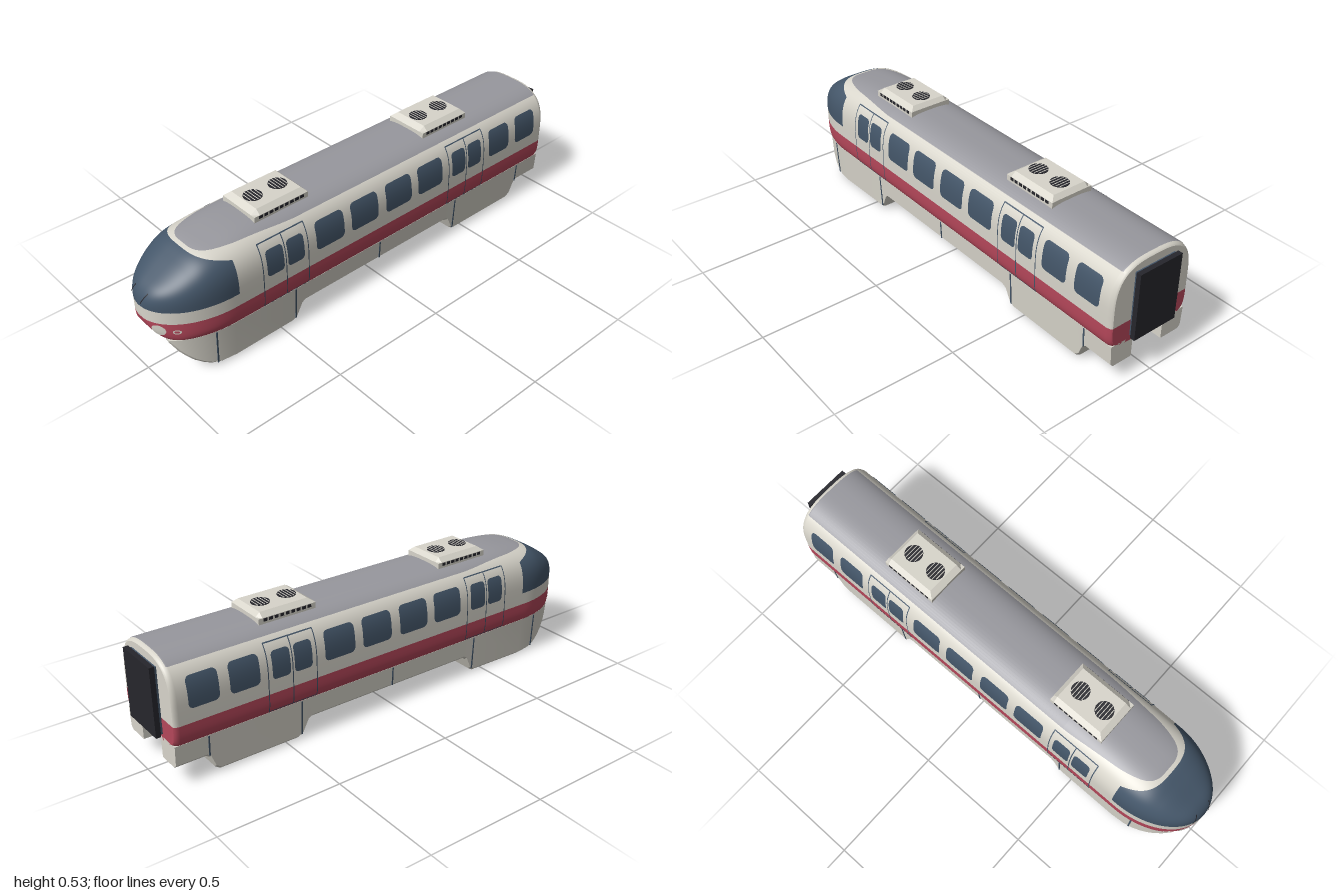
import * as THREE from 'three';
import { toCreasedNormals } from 'three/addons/utils/BufferGeometryUtils.js';

const paint = (name, color, side = THREE.FrontSide) => {
  const m = new THREE.MeshStandardMaterial({ color, side });
  m.name = name;
  return m;
};
const cream = paint('cream', 0xd8d5cb);
const red = paint('red', 0xb5475a);
const grey = paint('roof grey', 0x98989e);
const glass = paint('dark blue glass', 0x445669, THREE.DoubleSide);
const black = paint('black rubber', 0x26262c);

const W = 0.19, MID = 0.3, TOP = 0.497, BOTTOM = 0.15, REAR = -0.97;
const planWidth = z => z < 0.72 ? W : W * Math.sqrt(Math.max(0, 1 - ((z - 0.72) / 0.28) ** 2));
const bellyY = z => z < 0.9 ? BOTTOM : 0.27 - 0.12 * Math.sqrt(Math.max(0, 1 - ((z - 0.9) / 0.1) ** 2));
// half width of the straight body at height y
const sideX = y => {
  const n = y > MID ? 3 : 6.5, k = y > MID ? (y - MID) / (TOP - MID) : (MID - y) / (MID - BOTTOM);
  return W * (1 - k ** n) ** (1 / n);
};

// skin over closed rings ordered along +z, each counterclockwise seen from +z
function loft(rings, capEnd = true) {
  const n = rings[0].length, pos = rings.flat(2), idx = [];
  for (let i = 0; i < rings.length - 1; i++) for (let j = 0; j < n; j++) {
    const a = i * n + j, b = i * n + (j + 1) % n;
    idx.push(a, b, b + n, a, b + n, a + n);
  }
  const cap = (ring, flip) => {
    const base = pos.length / 3;
    ring.forEach(p => pos.push(...p));
    pos.push(...[0, 1, 2].map(k => ring.reduce((s, p) => s + p[k], 0) / n));
    for (let j = 0; j < n; j++) {
      const a = base + j, b = base + (j + 1) % n;
      idx.push(base + n, flip ? b : a, flip ? a : b);
    }
  };
  cap(rings[0], true);
  if (capEnd) cap(rings[rings.length - 1], false);
  const g = new THREE.BufferGeometry();
  g.setAttribute('position', new THREE.Float32BufferAttribute(pos, 3));
  g.setIndex(idx);
  g.computeVertexNormals();
  return g;
}

// rounded body section
function bodyRing(z, top, scale = 1, n = 96) {
  const ring = [], w = planWidth(z), low = bellyY(z);
  for (let j = 0; j < n; j++) {
    const a = (j / n) * Math.PI * 2, c = Math.cos(a), s = Math.sin(a), e = 2 / (s >= 0 ? 3 : 6.5);
    const x = w * Math.sign(c) * Math.abs(c) ** e;
    const y = MID + (s >= 0 ? top - MID : MID - low) * Math.sign(s) * Math.abs(s) ** e;
    ring.push([x * scale, 0.32 + (y - 0.32) * scale, z]);
  }
  return ring;
}

// triangles as lists of [position, normal], cut along f = 0
function toTriangles(g) {
  const flat = g.toNonIndexed(), p = flat.attributes.position, q = flat.attributes.normal, out = [];
  const v = i => [p.getX(i), p.getY(i), p.getZ(i), q.getX(i), q.getY(i), q.getZ(i)];
  for (let i = 0; i < p.count; i += 3) out.push([v(i), v(i + 1), v(i + 2)]);
  return out;
}
function keep(tris, f) {
  const out = [];
  for (const t of tris) {
    const poly = [];
    t.forEach((a, i) => {
      const b = t[(i + 1) % 3], fa = f(...a), fb = f(...b);
      if (fa >= 0) poly.push(a);
      if ((fa >= 0) !== (fb >= 0)) poly.push(a.map((k, m) => k + (b[m] - k) * fa / (fa - fb)));
    });
    for (let i = 2; i < poly.length; i++) out.push([poly[0], poly[i - 1], poly[i]]);
  }
  return out;
}
function carve(tris, ...tests) {
  const rest = [];
  for (const f of tests) {
    rest.push(...keep(tris, (...v) => -f(...v)));
    tris = keep(tris, f);
  }
  return [tris, rest];
}
function fromTriangles(tris) {
  const g = new THREE.BufferGeometry(), v = tris.flat();
  g.setAttribute('position', new THREE.Float32BufferAttribute(v.flatMap(a => a.slice(0, 3)), 3));
  g.setAttribute('normal', new THREE.Float32BufferAttribute(v.flatMap(a => a.slice(3)), 3));
  return g;
}

// thin plate following the curved side, with corner radius r
function sidePanel(s, z0, z1, y0, y1, r = 0) {
  const rows = 20, pos = [], idx = [];
  for (let i = 0; i <= rows; i++) {
    const y = y0 + (y1 - y0) * (1 - Math.cos(Math.PI * i / rows)) / 2;
    const d = Math.max(0, r - Math.min(y - y0, y1 - y));
    const inset = r - Math.sqrt(Math.max(0, r * r - d * d)), x = s * (sideX(y) + 0.002);
    pos.push(x, y, z0 + inset, x, y, z1 - inset);
    const a = i * 2;
    if (i < rows) idx.push(...(s > 0 ? [a, a + 2, a + 3, a, a + 3, a + 1] : [a, a + 3, a + 2, a, a + 1, a + 3]));
  }
  const g = new THREE.BufferGeometry();
  g.setAttribute('position', new THREE.Float32BufferAttribute(pos, 3));
  g.setIndex(idx);
  g.computeVertexNormals();
  return g;
}

export function createModel() {
  const model = new THREE.Group();
  model.name = 'monorailCar';
  const add = (name, geo, mat, x = 0, y = 0, z = 0) => {
    const m = new THREE.Mesh(geo, mat);
    m.name = name;
    m.position.set(x, y, z);
    model.add(m);
    return m;
  };
  const box = (name, mat, w, h, d, x, y, z) => add(name, new THREE.BoxGeometry(w, h, d), mat, x, y, z);

  // body shell, with the slanted nose following a roof line of (z, y)
  const roofLine = new THREE.SplineCurve([[0.4, TOP], [0.6, 0.496], [0.72, 0.487], [0.8, 0.474], [0.86, 0.446],
    [0.92, 0.409], [0.965, 0.378], [0.99, 0.346], [1, 0.31]].map(p => new THREE.Vector2(...p)));
  const shell = loft([bodyRing(REAR, TOP, 0.94), bodyRing(REAR + 0.005, TOP, 0.975), bodyRing(REAR + 0.02, TOP),
    ...roofLine.getPoints(64).map(p => bodyRing(Math.min(p.x, 1), p.y))], false);
  const roofEdge = z => 0.466 + 0.009 * THREE.MathUtils.smoothstep(z, 0.37, 0.62);
  let part, rest = toTriangles(shell);
  [part, rest] = carve(rest, (x, y) => 0.253 - y);
  const [belly, band] = carve(part, (x, y) => 0.157 - y, (x, y, z) => z + 0.955, (x, y, z) => 0.88 - z);
  add('underside', fromTriangles(belly), grey);
  add('redBand', fromTriangles(band), red);
  [part, rest] = carve(rest, (x, y) => y - 0.305, (x, y, z) => z - 0.7, (x, y, z) => 0.44 + (z - 0.7) * 0.27 - y);
  add('windshield', fromTriangles(part), glass);
  [part, rest] = carve(rest, (x, y, z) => y - roofEdge(z), (x, y, z) => z + 0.955, (x, y, z) => 0.795 - z);
  add('roof', fromTriangles(part), grey);
  add('bodySides', fromTriangles(rest), cream);

  // nose details laid onto the shell
  const target = new THREE.Mesh(shell, cream), ray = new THREE.Raycaster();
  const onNose = (name, geo, mat, x, y, lift = 0.003) => {
    geo.translate(x, y, 0);
    const p = geo.attributes.position, dir = new THREE.Vector3(0, 0, -1);
    for (let i = 0; i < p.count; i++) {
      ray.set(new THREE.Vector3(p.getX(i), p.getY(i), 2), dir);
      const hit = ray.intersectObject(target)[0];
      p.setZ(i, (hit ? hit.point.z : 0.95) + lift);
    }
    geo.computeVertexNormals();
    add(name, geo, mat);
  };
  for (const s of [-1, 1]) {
    onNose('headlight', new THREE.RingGeometry(0.0005, 0.024, 28, 4), cream, s * 0.075, 0.222);
    onNose('markerLightRing', new THREE.RingGeometry(0.006, 0.01, 20, 1), cream, s * 0.125, 0.218);
  }
  for (const x of [-0.05, 0.026])
    onNose('wiper', new THREE.PlaneGeometry(0.004, 0.053, 1, 8).rotateZ(-0.46), black, x, 0.343, 0.004);

  // side windows and doors
  const windows = [[0.201, 0.34], [0.024, 0.163], [-0.158, -0.019], [-0.335, -0.196], [-0.743, -0.619], [-0.909, -0.786]];
  for (const s of [-1, 1]) {
    for (const [a, b] of windows) add('window', sidePanel(s, a, b, 0.31, 0.43, 0.02), glass);
    for (const c of [0.486, -0.48]) {
      for (const d of [-0.048, 0.048])
        add('doorWindow', sidePanel(s, c + d - 0.039, c + d + 0.039, 0.31, 0.42, 0.016), glass);
      for (const d of [-0.106, 0, 0.106])
        add('doorSeam', sidePanel(s, c + d - 0.002, c + d + 0.002, 0.178, 0.451), glass);
      for (const y of [0.178, 0.448])
        add('doorEdge', sidePanel(s, c - 0.106, c + 0.106, y, y + 0.004), glass);
    }
  }

  // skirts straddling the beam, as (z, bottom height)
  const keel = [[REAR, 0.08], [-0.845, 0.08], [-0.83, 0.07], [-0.81, 0.02], [-0.79, 0.005], [-0.45, 0.005], [-0.43, 0.017],
    [-0.405, 0.07], [-0.385, 0.08], [0.39, 0.08], [0.405, 0.07], [0.43, 0.017], [0.45, 0.004], [0.72, 0], [0.78, 0.003],
    [0.82, 0.014], [0.85, 0.032], [0.88, 0.055], [0.905, 0.082], [0.925, 0.108], [0.942, 0.138], [0.954, 0.165]];
  const skirtX = z => planWidth(z) * 0.94;
  for (const s of [-1, 1]) {
    const rings = keel.map(([z, y]) => {
      const o = skirtX(z), b = Math.min(0.012, (0.172 - y) / 2), foot = o - 0.008 * (0.172 - y) / 0.172;
      const ring = [[0.075, 0.172], [0.075, y], [foot - b, y], [foot, y + b], [o, 0.172]].map(p => [s * p[0], p[1], z]);
      return s > 0 ? ring : ring.reverse();
    });
    add('skirt', toCreasedNormals(loft(rings), 0.5), cream);
    for (const [z, y] of [[0.8, 0.015], [0.437, 0.022], [0, 0.088], [-0.437, 0.022], [-0.835, 0.085]]) {
      const h = 0.168 - y;
      box('skirtSeam', glass, 0.003, h, 0.006, s * (skirtX(z) - 0.008 * (0.172 - y - h / 2) / 0.172), y + h / 2, z)
        .rotation.z = -s * 0.046;
    }
  }

  // running wheels under the floor
  for (const z of [0.53, -0.74])
    add('wheel', new THREE.CylinderGeometry(0.1, 0.1, 0.084, 32).rotateZ(Math.PI / 2), black, 0, 0.23, z);

  // rear gangway
  box('gangwayNeck', glass, 0.188, 0.268, 0.02, 0, 0.32, -0.975);
  box('gangway', black, 0.2, 0.28, 0.02, 0, 0.32, -0.99);

  // roof cooling units with fans and side grilles
  for (const c of [0.423, -0.433]) {
    const rings = [[-0.125, 0.513], [-0.108, 0.53], [0.1, 0.53], [0.125, 0.513]].map(([d, t]) =>
      [[0.095, 0.48], [0.095, 0.512], [0.075, t], [-0.075, t], [-0.095, 0.512], [-0.095, 0.48]].map(p => [...p, c + d]));
    add('coolingUnit', toCreasedNormals(loft(rings), 0.3), cream);
    for (const d of [-0.058, 0.058]) {
      add('fan', new THREE.CylinderGeometry(0.037, 0.037, 0.003, 32), black, 0, 0.5305, c + d);
      for (let i = -2; i <= 2; i++)
        box('fanSlat', cream, 2 * Math.sqrt(0.036 ** 2 - (i * 0.013) ** 2), 0.002, 0.003, 0, 0.532, c + d + i * 0.013);
    }
    for (const s of [-1, 1]) for (let i = -4; i <= 4; i++)
      box('sideGrille', black, 0.004, 0.012, 0.016, s * 0.0945, 0.504, c + i * 0.024);
  }
  return model;
}
